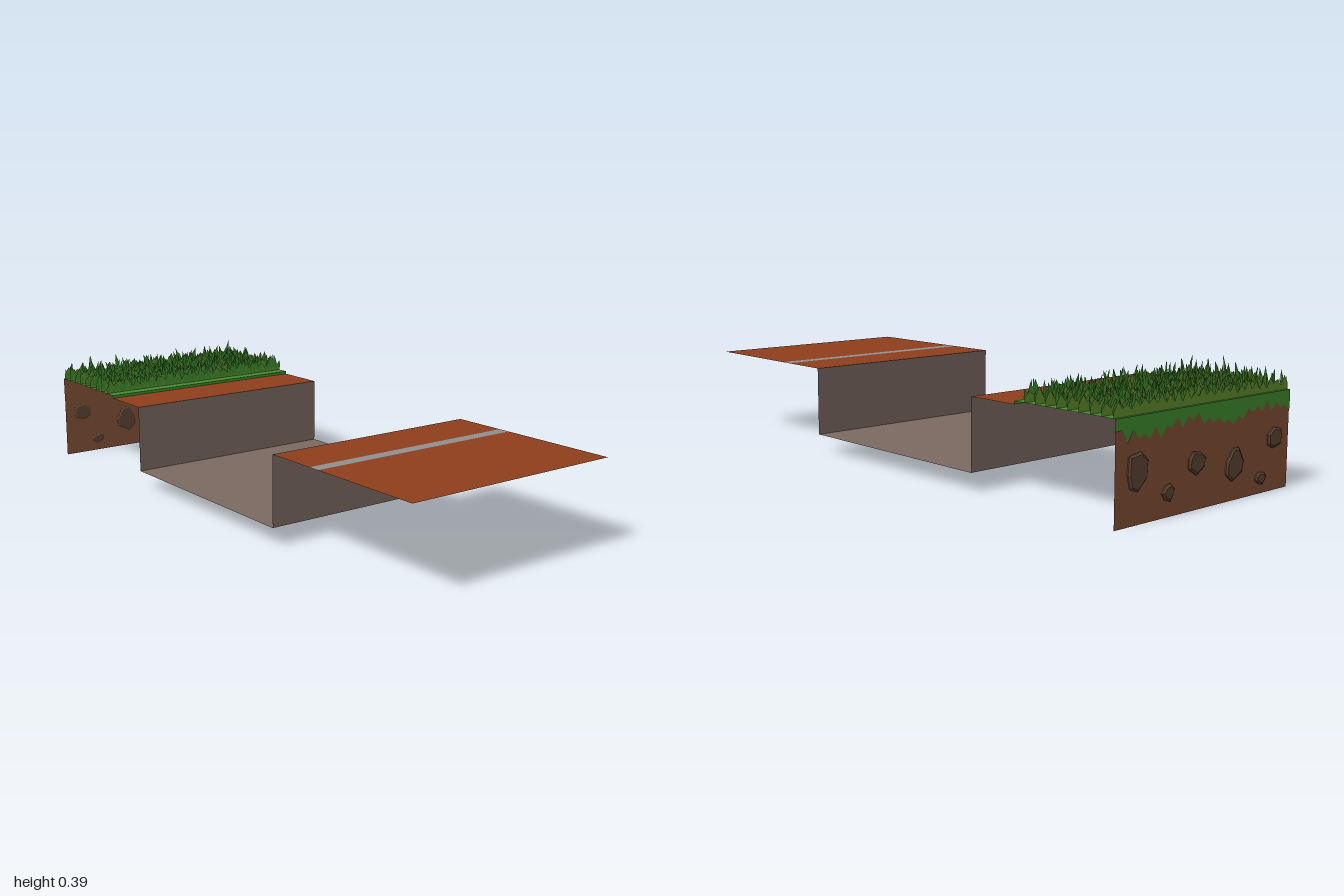
import * as THREE from 'three';

const HALF = 0.386;      // half width of the whole strip
const TOP = 0.29;        // road level
const FLOOR = 0.06;      // trench floor level
const GRASS = 0.3;       // lawn level
const BACK = -0.992;     // soil panel position

function paint(color) {
  return new THREE.MeshStandardMaterial({ color, flatShading: true, side: THREE.DoubleSide });
}
const mats = {
  clay: paint(0x8f401c),
  stone: paint(0x7d6b62),
  line: paint(0x909090),
  green: paint(0x3f8f2e),
  olive: paint(0x62902e),
  soil: paint(0x855236),
  rock: paint(0x5f4636),
};

// Small seeded generator
function seeded(seed) {
  let s = seed;
  return () => {
    s = (s * 16807) % 2147483647;
    return s / 2147483647;
  };
}

const clampX = (x) => Math.max(-HALF, Math.min(HALF, x));

function polygon(points) {
  return new THREE.Shape(points.map(([x, y]) => new THREE.Vector2(x, y)));
}

export function createModel() {
  const model = new THREE.Group();
  const rand = seeded(4217);

  function add(name, geometry, material, parent = model) {
    const mesh = new THREE.Mesh(geometry, material);
    mesh.name = name;
    parent.add(mesh);
    return mesh;
  }

  // Horizontal sheet between two z positions
  function sheet(name, z0, z1, y, material) {
    const g = new THREE.PlaneGeometry(HALF * 2, z1 - z0).rotateX(-Math.PI / 2);
    add(name, g, material).position.set(0, y, (z0 + z1) / 2);
  }

  // Upright sheet, facing the front or the back
  function wall(name, z, y0, y1, material, facesBack = false) {
    const g = new THREE.PlaneGeometry(HALF * 2, y1 - y0);
    if (facesBack) g.rotateY(Math.PI);
    add(name, g, material).position.set(0, (y0 + y1) / 2, z);
  }

  // Front bank with its painted stripe
  sheet('frontBankOuter', 0.6, 1, TOP, mats.clay);
  sheet('stripe', 0.56, 0.6, TOP, mats.line);
  sheet('frontBankInner', 0.38, 0.56, TOP, mats.clay);

  // Trench
  wall('trenchFrontWall', 0.38, FLOOR, TOP, mats.stone, true);
  sheet('trenchFloor', -0.42, 0.38, FLOOR, mats.stone);
  wall('trenchBackWall', -0.42, FLOOR, TOP, mats.stone);

  // Back bank, lawn and soil section
  sheet('backBank', -0.605, -0.42, TOP, mats.clay);
  wall('lawnEdge', -0.605, TOP, GRASS, mats.green);
  sheet('lawn', BACK, -0.605, GRASS, mats.green);
  wall('soilPanel', BACK, 0, GRASS, mats.soil, true);

  // Ragged turf hanging over the soil panel
  const fringe = [[-HALF, GRASS], [-HALF, 0.24]];
  const teeth = 34;
  for (let i = 1; i < teeth; i++) {
    const x = -HALF + (i / teeth) * HALF * 2;
    const mean = 0.255 + 0.012 * Math.sin(x * 17);
    fringe.push([x, mean + (i % 2 ? 0.008 : -0.015) + (rand() - 0.5) * 0.022]);
  }
  fringe.push([HALF, 0.265], [HALF, GRASS]);
  add('turfFringe', new THREE.ShapeGeometry(polygon(fringe)), mats.green).position.z = BACK - 0.002;

  // Embedded rocks: x, y, half width, half height
  const rocks = new THREE.Group();
  rocks.name = 'rocks';
  model.add(rocks);
  [
    [0.3, 0.15, 0.046, 0.062],
    [0.17, 0.07, 0.027, 0.028],
    [0.05, 0.137, 0.041, 0.036],
    [-0.125, 0.108, 0.046, 0.05],
    [-0.316, 0.16, 0.04, 0.035],
    [-0.25, 0.047, 0.025, 0.021],
  ].forEach(([x, y, w, h], n) => {
    const outline = [];
    for (let i = 0; i < 7; i++) {
      const a = ((i + (rand() - 0.5) * 0.5) / 7) * Math.PI * 2 + n;
      const r = 0.82 + rand() * 0.25;
      outline.push([Math.cos(a) * w * r, Math.sin(a) * h * r]);
    }
    const g = new THREE.ExtrudeGeometry(polygon(outline), {
      depth: 0.005, bevelEnabled: true, bevelSegments: 1,
      bevelThickness: 0.004, bevelSize: 0.006, bevelOffset: -0.006,
    });
    add('rock', g, mats.rock, rocks).position.set(x, y, -0.996);
  });

  // Leaf-shaped blade leaning towards its tip
  function blade(x, w, h, lean) {
    return polygon([
      [x, 0],
      [x + w * 0.55 + lean * 0.2, h * 0.35],
      [x + w * 0.3 + lean * 0.6, h * 0.7],
      [x + lean, h],
      [x - w * 0.35 + lean * 0.45, h * 0.65],
      [x - w * 0.5, h * 0.3],
    ].map(([px, py]) => [clampX(px), py]));
  }

  // Rows of grass: olive tufts behind, green blades in front
  const grass = new THREE.Group();
  grass.name = 'grass';
  model.add(grass);
  const rows = 9;
  for (let r = 0; r < rows; r++) {
    const z = -0.645 - (r / (rows - 1)) * 0.335;

    const tufts = [[-HALF, 0]];
    for (let i = 0; i <= 44; i++) {
      const x = -HALF + (i / 44) * HALF * 2;
      tufts.push([x, i % 2 ? 0.03 + rand() * 0.022 : 0.013 + rand() * 0.012]);
    }
    tufts.push([HALF, 0]);
    add('tuftRow', new THREE.ShapeGeometry(polygon(tufts)), mats.olive, grass).position.set(0, GRASS, z - 0.004);

    const blades = [];
    for (let i = 0; i < 46; i++) {
      const x = -HALF + ((i + 0.3 + rand() * 0.4) / 46) * HALF * 2;
      const tall = rand() > 0.95 ? 0.018 : 0;
      const h = 0.03 + rand() * 0.04 + tall;
      blades.push(blade(x, 0.012 + rand() * 0.008, h, (rand() - 0.5) * 0.035));
    }
    add('bladeRow', new THREE.ShapeGeometry(blades), mats.green, grass).position.set(0, GRASS, z);
  }

  return model;
}
